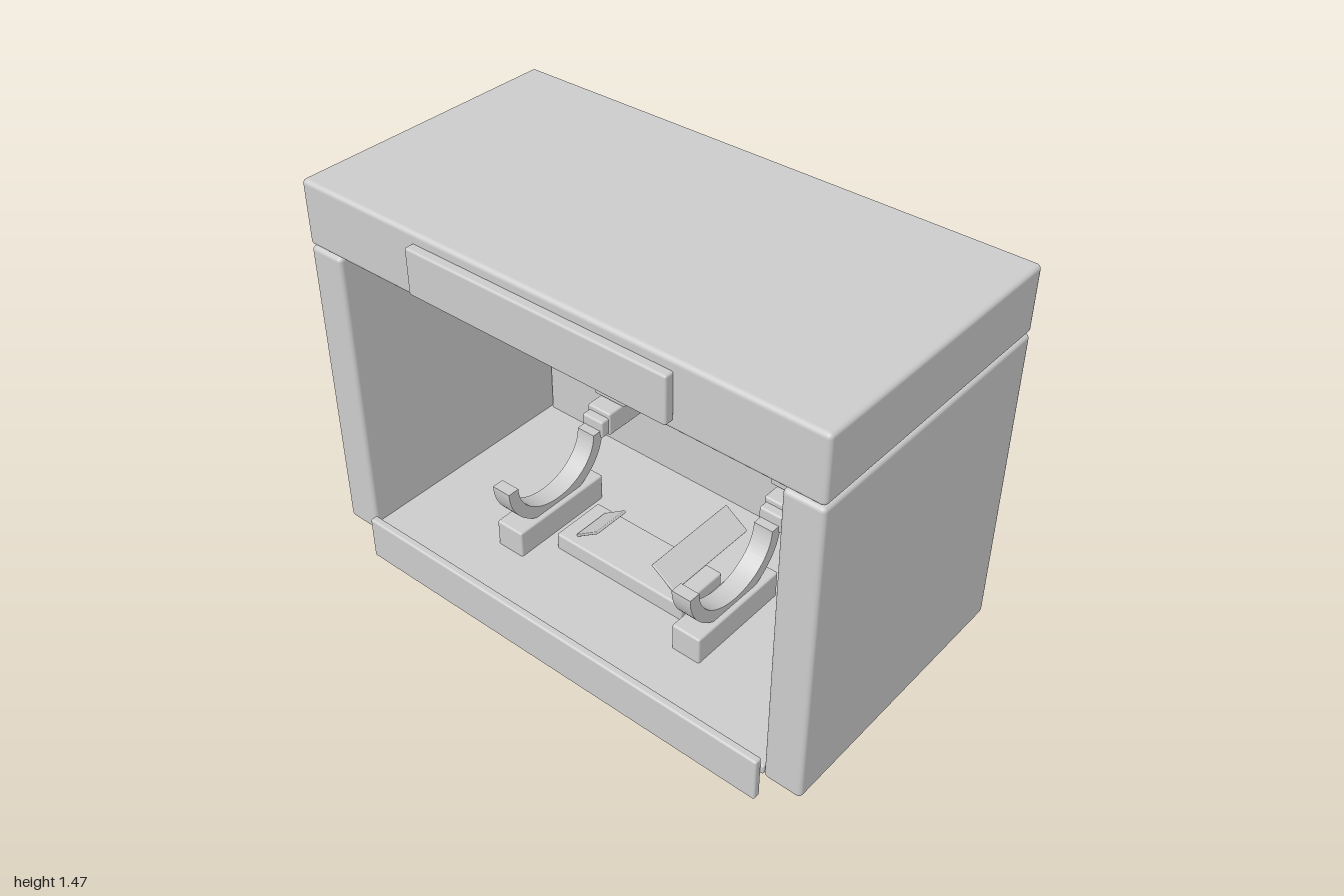
import * as THREE from 'three';
import { RoundedBoxGeometry } from 'three/addons/geometries/RoundedBoxGeometry.js';

const grey = new THREE.MeshStandardMaterial({ color: 0xcccccc });
grey.name = 'plain grey';

// Box with softened edges, given by its extents on each axis
function block(name, [x0, x1], [y0, y1], [z0, z1], bevel = 0.008) {
  const geo = new RoundedBoxGeometry(x1 - x0, y1 - y0, z1 - z0, 2, bevel);
  const mesh = new THREE.Mesh(geo, grey);
  mesh.position.set((x0 + x1) / 2, (y0 + y1) / 2, (z0 + z1) / 2);
  mesh.name = name;
  return mesh;
}

// Half-ring cradle opening upwards, its profile lying in the y-z plane
function cradle() {
  const shape = new THREE.Shape();
  shape.absellipse(0, 0, 0.235, 0.205, Math.PI, Math.PI * 2, false);
  shape.absellipse(0, 0, 0.19, 0.16, Math.PI * 2, Math.PI, true);
  shape.closePath();
  const geo = new THREE.ExtrudeGeometry(shape, { depth: 0.075, bevelEnabled: false, curveSegments: 20 });
  geo.translate(0, 0, -0.0375);
  geo.rotateY(-Math.PI / 2);
  const mesh = new THREE.Mesh(geo, grey);
  mesh.position.set(0, 0.415, 0.09);
  mesh.name = 'cradle';
  return mesh;
}

// One holder: hanging bar, clamp, wall bracket, cradle and foot
function holder(x) {
  const g = new THREE.Group();
  g.name = 'holder';
  g.add(
    block('wallArm', [-0.037, 0.037], [0.85, 0.965], [-0.41, -0.235]),
    block('uprightBar', [-0.036, 0.036], [0.52, 0.87], [-0.285, -0.235]),
    block('clampUpper', [-0.07, 0.07], [0.518, 0.545], [-0.29, -0.23], 0.004),
    block('clampCore', [-0.055, 0.055], [0.475, 0.53], [-0.28, -0.24], 0.004),
    block('clampLower', [-0.07, 0.07], [0.48, 0.508], [-0.29, -0.23], 0.004),
    block('wallBracket', [-0.052, 0.052], [0.38, 0.475], [-0.41, -0.17]),
    block('bracketNose', [-0.046, 0.046], [0.385, 0.455], [-0.2, -0.135]),
    cradle(),
    block('foot', [-0.057, 0.057], [0.12, 0.235], [-0.12, 0.3])
  );
  g.position.x = x;
  return g;
}

// Thin flap leaning inward over the floor plate
function flap(side, z0, z1) {
  const mesh = block('flap', [-0.058, 0.058], [-0.005, 0.005], [z0, z1], 0.003);
  mesh.position.x = side * 0.17;
  mesh.position.y = 0.23;
  mesh.rotation.z = -side * 0.61;
  return mesh;
}

export function createModel() {
  const model = new THREE.Group();
  model.name = 'cabinet';

  // Cabinet shell
  model.add(
    block('lid', [-1, 1], [1.23, 1.465], [-0.54, 0.505], 0.016),
    block('backPanel', [-0.855, 0.855], [0.09, 1.225], [-0.53, -0.4], 0.014),
    block('floor', [-0.862, 0.862], [0.095, 0.132], [-0.5, 0.505]),
    block('kickPlate', [-0.855, 0.855], [0, 0.17], [0.505, 0.535]),
    block('lidPlate', [-0.5, 0.5], [1.265, 1.43], [0.503, 0.54])
  );
  for (const s of [-1, 1]) {
    const a = s * 0.862, b = s * 1;
    model.add(block('sidePanel', [Math.min(a, b), Math.max(a, b)], [0.09, 1.225], [-0.54, 0.505], 0.016));
  }

  // Fittings inside
  model.add(
    holder(-0.395),
    holder(0.39),
    block('floorPlate', [-0.28, 0.28], [0.125, 0.195], [-0.03, 0.185]),
    flap(-1, 0, 0.15),
    flap(1, -0.25, 0.15)
  );
  return model;
}
